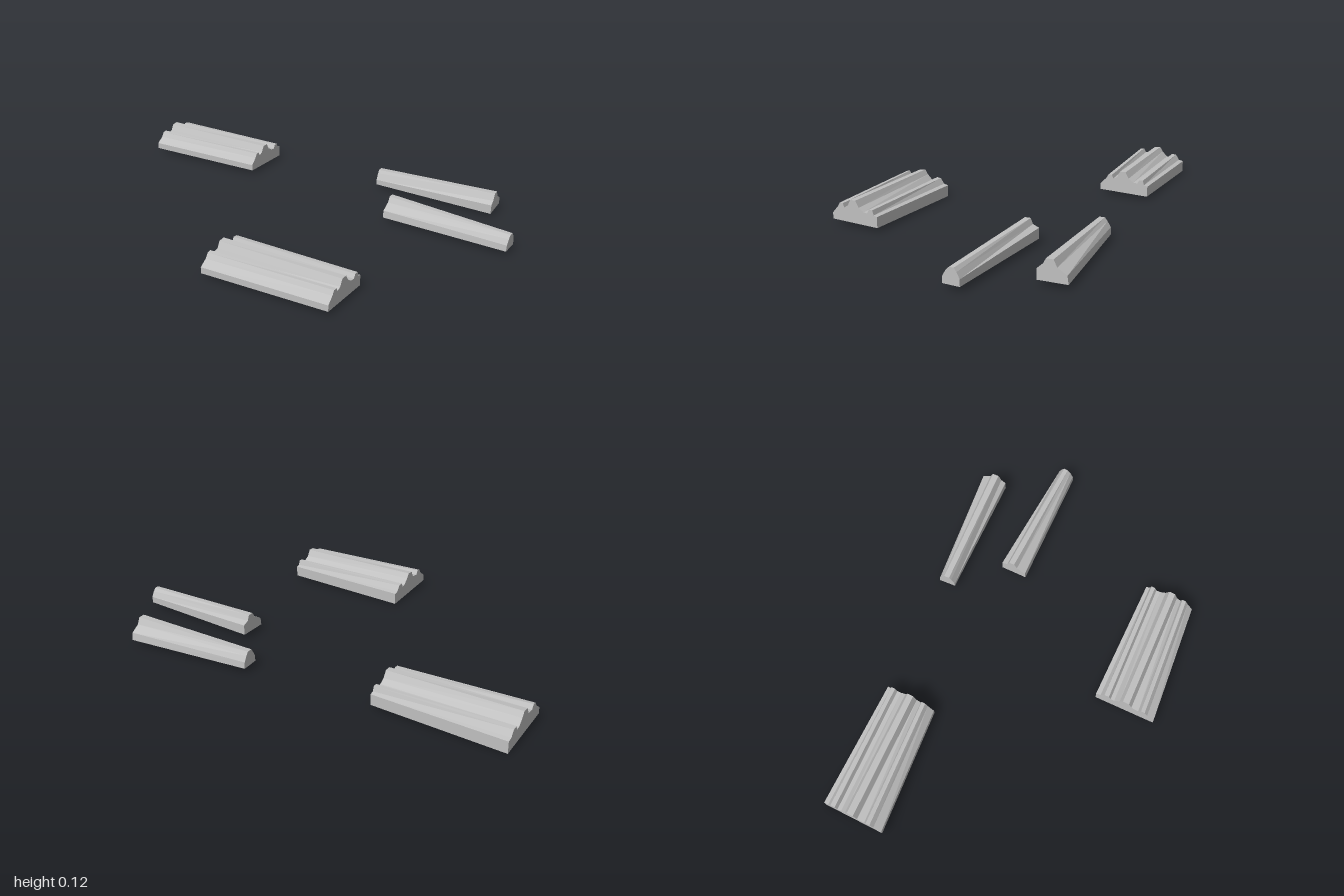
import * as THREE from 'three';

const grey = new THREE.MeshStandardMaterial({ color: 0xc0c0c0, side: THREE.DoubleSide });
grey.name = 'plain grey';
grey.flatShading = true;

// Outlines are [z, y] pairs running from the front bottom edge over the top to the back.
const slabLeft = [[.62, .02], [.62, .05], [.585, .075], [.57, .097], [.552, .1], [.54, .08], [.505, .085], [.49, .115],
  [.46, .118], [.445, .095], [.42, .07], [.402, .068], [.392, .088], [.37, .086], [.352, .06], [.33, .055], [.33, 0]];
const slabRight = [[.6, .02], [.6, .05], [.572, .08], [.56, .1], [.542, .1], [.535, .082], [.515, .092], [.5, .122],
  [.472, .122], [.455, .092], [.43, .076], [.41, .074], [.4, .092], [.382, .092], [.375, .07], [.358, .065], [.358, .015]];
const narrowBack = [[-.51, .02], [-.51, .045], [-.525, .075], [-.535, .09], [-.56, .09], [-.572, .075], [-.587, .05], [-.59, .02]];
const wideBack = [[-.498, .02], [-.498, .065], [-.52, .08], [-.535, .11], [-.565, .11], [-.58, .08], [-.62, .055], [-.625, .02]];
const wideFront = [[-.21, .02], [-.213, .055], [-.255, .08], [-.27, .105], [-.296, .105], [-.307, .08], [-.335, .068], [-.335, .02]];
const narrowFront = [[-.198, .02], [-.2, .05], [-.215, .075], [-.23, .09], [-.25, .09], [-.262, .075], [-.275, .05], [-.275, .02]];

// Places an outline at an end; slant shifts x from its front edge to its back edge.
function section(outline, x, slant) {
  const z0 = outline[0][0], z1 = outline[outline.length - 1][0];
  return outline.map(([z, y]) => new THREE.Vector3(x + slant * (z0 - z) / (z0 - z1), y, z));
}

// Hollow ridged shell: strips between two ends, two end caps and an open underside.
function ridgedShell(name, left, right) {
  const points = [];
  for (let i = 0; i < left.length - 1; i++) {
    points.push(left[i], right[i], right[i + 1], left[i], right[i + 1], left[i + 1]);
  }
  for (const [end, side] of [[left, -1], [right, 1]]) {
    const flat = end.map(p => new THREE.Vector2(p.z, p.y));
    for (const face of THREE.ShapeUtils.triangulateShape(flat, [])) {
      const [a, b, c] = face.map(i => end[i]);
      const normal = b.clone().sub(a).cross(c.clone().sub(a));
      points.push(...(normal.x * side > 0 ? [a, b, c] : [a, c, b]));
    }
  }
  const geometry = new THREE.BufferGeometry().setFromPoints(points);
  geometry.computeVertexNormals();
  const mesh = new THREE.Mesh(geometry, grey);
  mesh.name = name;
  return mesh;
}

export function createModel() {
  const model = new THREE.Group();
  model.name = 'ridgedPieces';

  // Two matching wide slabs
  const frontSlab = ridgedShell('frontSlab', section(slabLeft, -.06, .02), section(slabRight, .535, .02));
  const backSlab = frontSlab.clone();
  backSlab.name = 'backSlab';
  backSlab.position.set(-.94, 0, -.93);

  // Two tapered narrow pieces pointing opposite ways
  const backStrip = ridgedShell('backStrip', section(narrowBack, .22, 0), section(wideBack, .82, 0));
  const middleStrip = ridgedShell('middleStrip', section(wideFront, .395, .007), section(narrowFront, .993, .007));

  model.add(frontSlab, backSlab, backStrip, middleStrip);
  return model;
}
